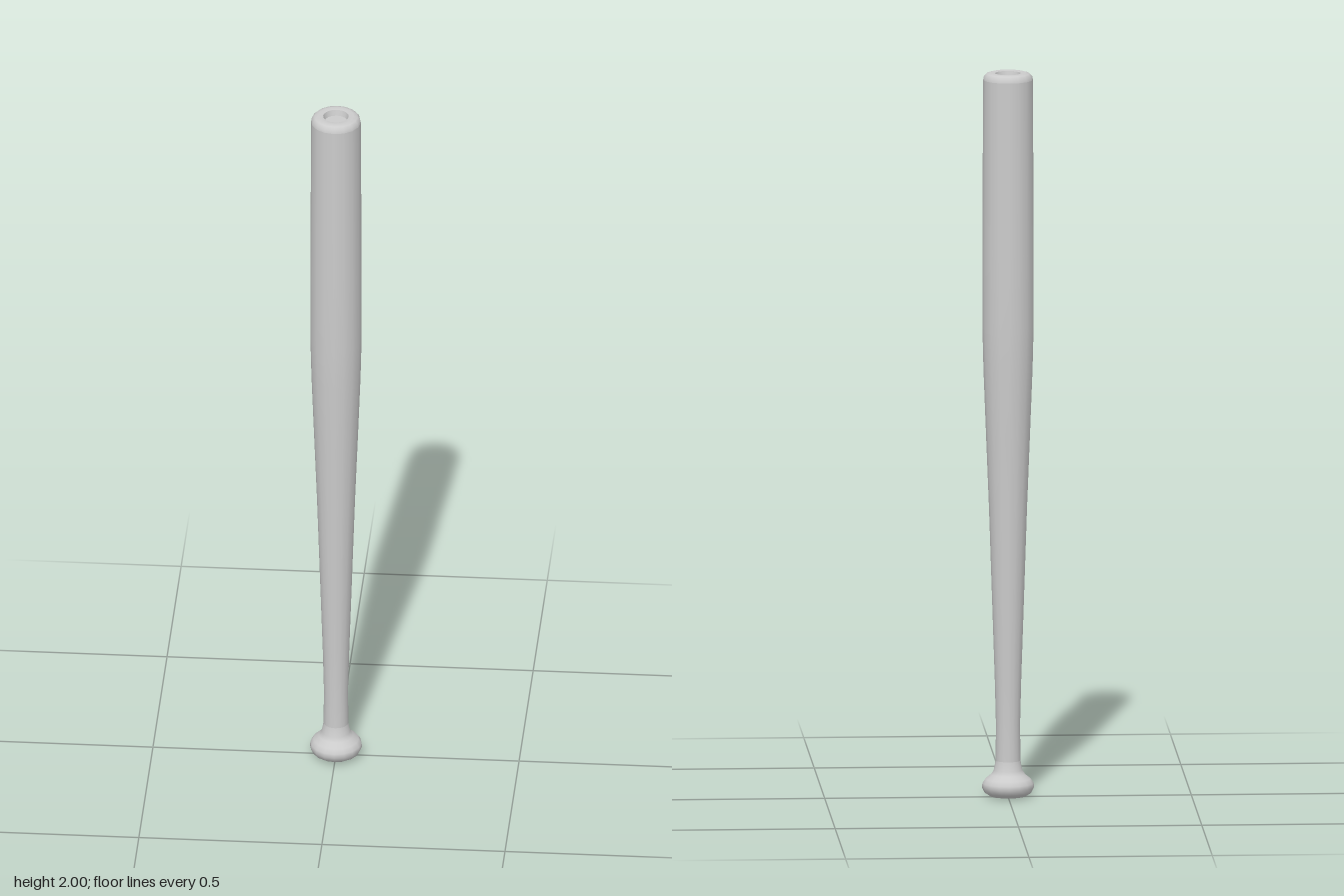
import * as THREE from 'three';

const SIDES = 16;
const material = new THREE.MeshStandardMaterial({ color: 0xcccccc });

// Turned part from [radius, height] pairs, running up the outside
function turned(name, profile) {
  const points = profile.map(([r, y]) => new THREE.Vector2(r, y));
  const mesh = new THREE.Mesh(new THREE.LatheGeometry(points, SIDES), material);
  mesh.name = name;
  return mesh;
}

export function createModel() {
  const bat = new THREE.Group();
  bat.name = 'bat';

  // Flat underside of the knob
  bat.add(turned('knobBase', [[0, 0], [0.05, 0.003]]));

  // Rounded knob flaring into the grip
  bat.add(turned('knob', [
    [0.05, 0.003], [0.064, 0.012], [0.071, 0.026], [0.07, 0.038],
    [0.062, 0.05], [0.047, 0.062], [0.039, 0.074], [0.034, 0.1],
  ]));

  // Slim handle, long taper and barrel
  bat.add(turned('handleAndBarrel', [
    [0.034, 0.1], [0.033, 0.2], [0.036, 0.32], [0.042, 0.5], [0.052, 0.8],
    [0.06, 1.0], [0.067, 1.18], [0.07, 1.3], [0.07, 1.5], [0.069, 1.75], [0.068, 1.98],
  ]));

  // Rounded end of the barrel
  bat.add(turned('barrelRim', [
    [0.068, 1.98], [0.066, 1.99], [0.059, 1.997], [0.048, 2], [0.035, 1.998],
  ]));

  // Shallow cup sunk into the end
  bat.add(turned('cupWall', [[0.035, 1.998], [0.031, 1.982]]));
  bat.add(turned('cupFloor', [[0.031, 1.982], [0, 1.982]]));

  return bat;
}
